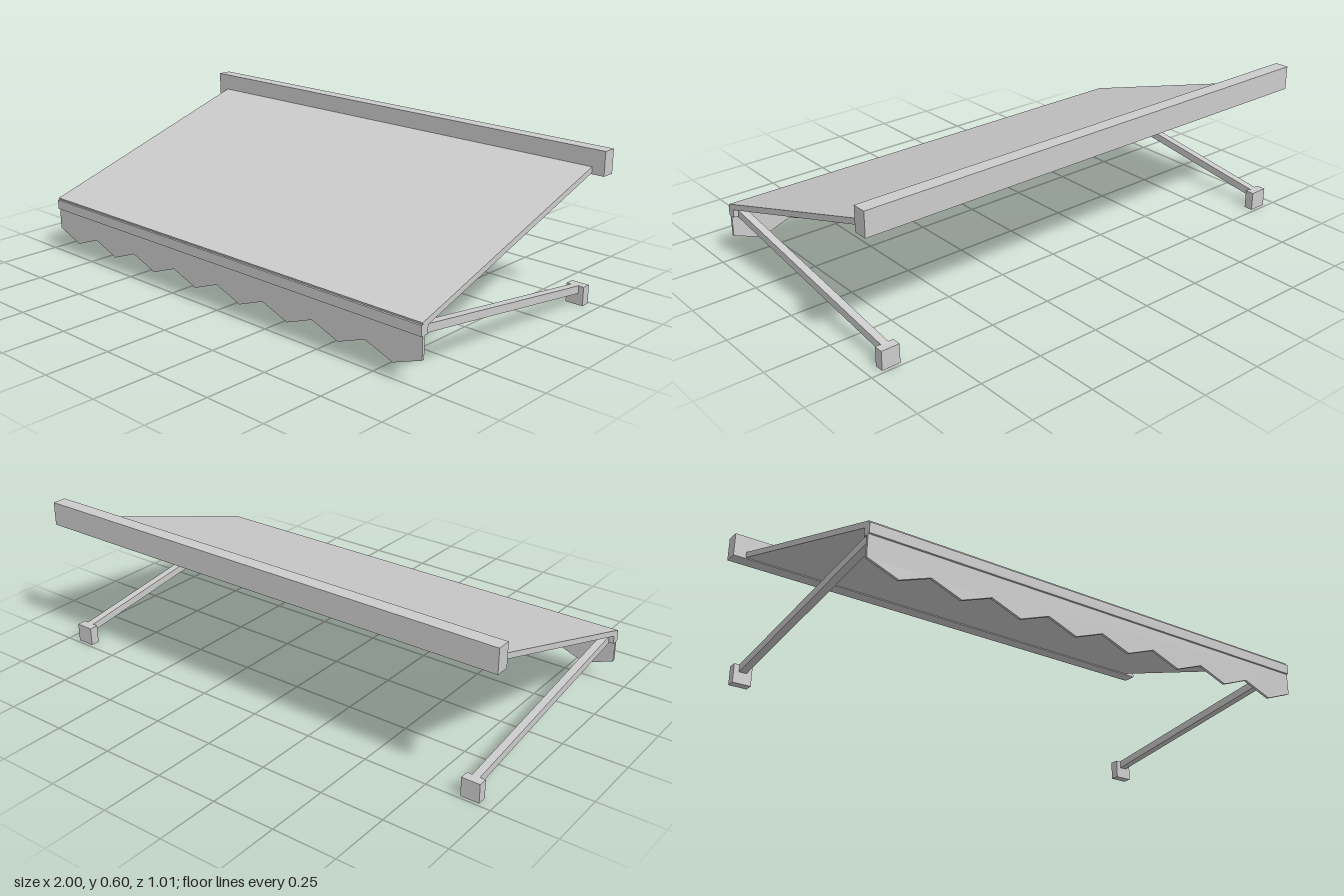
import * as THREE from 'three';

export function createModel() {
  const group = new THREE.Group();
  const grey = new THREE.MeshStandardMaterial({ color: 0xcccccc });
  grey.name = 'plain grey';

  const add = (name, geometry, x = 0, y = 0, z = 0) => {
    const mesh = new THREE.Mesh(geometry, grey);
    mesh.name = name;
    mesh.position.set(x, y, z);
    group.add(mesh);
    return mesh;
  };
  const box = (name, w, h, d, x, y, z) => add(name, new THREE.BoxGeometry(w, h, d), x, y, z);

  // Sloping slab whose centreline runs from (y0, z0) at the back to (y1, z1) at the front
  const slab = (name, w, t, x, [y0, z0], [y1, z1]) => {
    const length = Math.hypot(y1 - y0, z1 - z0);
    const mesh = box(name, w, t, length, x, (y0 + y1) / 2, (z0 + z1) / 2);
    mesh.rotation.x = Math.atan2(y0 - y1, z1 - z0);
  };

  // Wall housing, canopy and front rail
  box('wallHousing', 2, 0.093, 0.055, 0, 0.5535, -0.48);
  slab('canopy', 1.9, 0.022, 0, [0.525, -0.46], [0.218, 0.498]);
  box('frontRail', 1.9, 0.038, 0.034, 0, 0.202, 0.49);

  // Hanging valance with a zigzag lower edge
  const teeth = 8, width = 1.9, half = width / 2;
  const valance = new THREE.Shape();
  valance.moveTo(half, 0.185);
  valance.lineTo(-half, 0.185);
  for (let i = 0; i <= teeth * 2; i++) {
    valance.lineTo(-half + (i * width) / (teeth * 2), i % 2 ? 0.056 : 0.1);
  }
  valance.closePath();
  add('valance', new THREE.ExtrudeGeometry(valance, { depth: 0.01, bevelEnabled: false }), 0, 0, 0.489);

  // Support arms and their wall brackets
  for (const [side, s] of [['left', 1], ['right', -1]]) {
    slab(side + 'Arm', 0.03, 0.03, s * 0.915, [0.059, -0.46], [0.193, 0.482]);
    box(side + 'Bracket', 0.072, 0.074, 0.036, s * 0.915, 0.037, -0.47);
  }
  return group;
}
